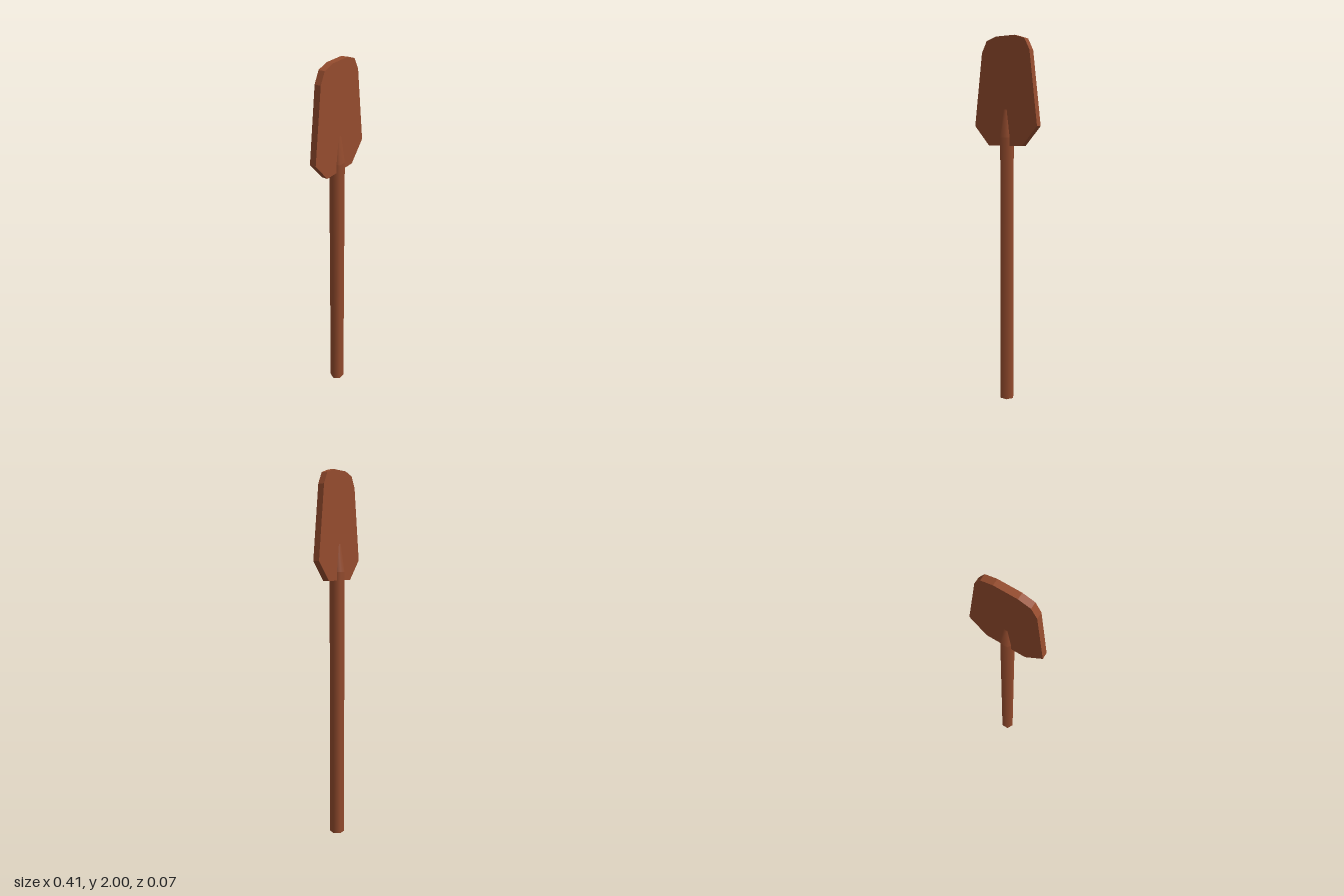
import * as THREE from 'three';

export function createModel() {
  const model = new THREE.Group();
  const wood = new THREE.MeshStandardMaterial({ color: 0x954c2e });
  wood.name = 'reddish brown wood';

  const add = (name, geometry, y) => {
    const mesh = new THREE.Mesh(geometry, wood);
    mesh.name = name;
    mesh.position.y = y;
    model.add(mesh);
  };

  // Six-sided pole section with corners on the x axis, smooth around its sides
  const pole = (topR, bottomR, height, open) =>
    new THREE.CylinderGeometry(topR, bottomR, height, 6, 1, open, Math.PI / 2);

  const R = 0.04, shoulder = 1.47, tip = 1.62;
  add('shaft', pole(R, R, shoulder, false), shoulder / 2);

  // Tapered end that sinks into the faces of the blade
  add('shaftTaper', pole(0.0198, R, tip - shoulder, true), (shoulder + tip) / 2);

  // Flat blade, mirrored from its right-hand outline
  const half = [[0.11, 1.425], [0.205, 1.53], [0.155, 1.92], [0.123, 1.98], [0.06, 2]];
  const outline = [...half, ...half.map(([x, y]) => [-x, y]).reverse()];
  const thickness = 0.035;
  const blade = new THREE.ExtrudeGeometry(
    new THREE.Shape(outline.map(([x, y]) => new THREE.Vector2(x, y))),
    { depth: thickness, bevelEnabled: false }
  );
  blade.translate(0, 0, -thickness / 2);
  add('blade', blade, 0);

  return model;
}
